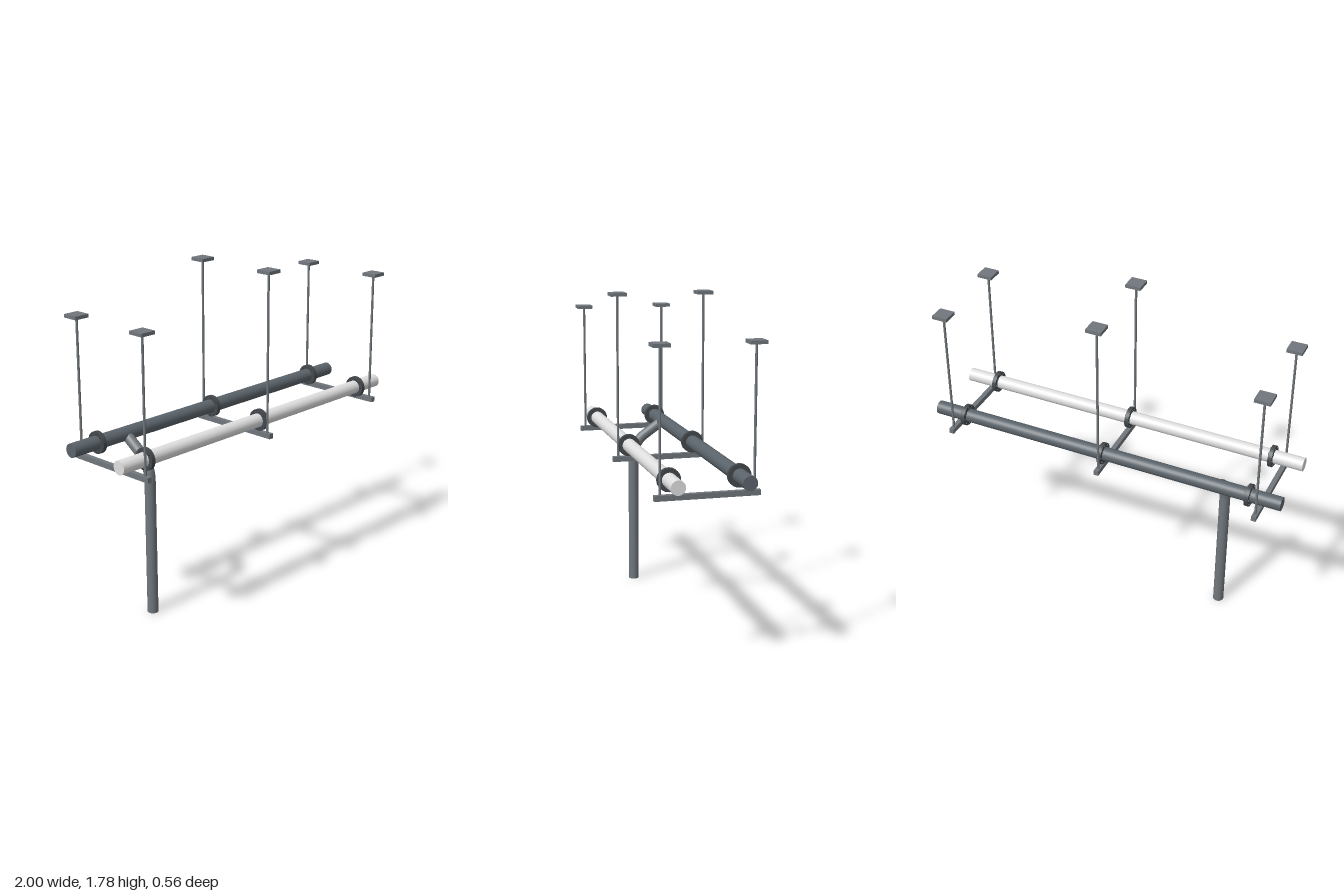
import * as THREE from 'three';

export function createModel() {
  const model = new THREE.Group();
  model.name = 'suspendedPipeRack';

  const mat = (name, color) => {
    const m = new THREE.MeshStandardMaterial({ color });
    m.name = name;
    return m;
  };
  const light = mat('pale pipe', 0xe0e0e0);
  const dark = mat('slate pipe', 0x5b646b);
  const steel = mat('hanger steel', 0x70777c);
  const iron = mat('flange iron', 0x44494d);

  const add = (name, geo, material, x, y, z, parent = model) => {
    const m = new THREE.Mesh(geo, material);
    m.name = name;
    m.position.set(x, y, z);
    parent.add(m);
  };

  const pipeY = 0.957, pipeZ = 0.177, rodZ = 0.236, barY = 0.884;

  // Two long horizontal pipes
  const pipeGeo = new THREE.CylinderGeometry(0.037, 0.037, 2, 32).rotateZ(Math.PI / 2);
  add('frontPipe', pipeGeo, light, 0, pipeY, pipeZ);
  add('rearPipe', pipeGeo, dark, 0, pipeY, -pipeZ);

  // Bolted flange collars
  const flangeGeo = new THREE.CylinderGeometry(0.059, 0.059, 0.022, 32).rotateZ(Math.PI / 2);
  const boltGeo = new THREE.CylinderGeometry(0.006, 0.006, 0.03, 8).rotateZ(Math.PI / 2);
  for (const x of [-0.825, 0, 0.825]) {
    for (const side of [1, -1]) {
      const flange = new THREE.Group();
      flange.name = 'flange';
      flange.position.set(x, pipeY, side * pipeZ);
      add('flangeRing', flangeGeo, iron, 0, 0, 0, flange);
      for (let i = 0; i < 8; i++) {
        const a = (i / 8) * Math.PI * 2;
        add('flangeBolt', boltGeo, iron, 0, Math.cos(a) * 0.048, Math.sin(a) * 0.048, flange);
      }
      model.add(flange);
    }
  }

  // Trapeze hangers: crossbar, two rods and their ceiling plates
  const barGeo = new THREE.BoxGeometry(0.026, 0.028, 0.53);
  const plateGeo = new THREE.BoxGeometry(0.085, 0.018, 0.085);
  for (const [x, top] of [[-0.882, 1.624], [0, 1.777], [0.882, 1.624]]) {
    const hanger = new THREE.Group();
    hanger.name = 'hanger';
    hanger.position.x = x;
    add('crossbar', barGeo, steel, 0, barY, 0, hanger);
    const length = top - 0.009 - barY;
    const rodGeo = new THREE.CylinderGeometry(0.0065, 0.0065, length, 12);
    for (const side of [1, -1]) {
      add('hangerRod', rodGeo, steel, 0, barY + length / 2, side * rodZ, hanger);
      add('ceilingPlate', plateGeo, steel, 0, top - 0.009, side * rodZ, hanger);
    }
    model.add(hanger);
  }

  // Drop pipe: vertical run, swept elbow and slanted joint into the rear pipe
  const v = (y, z) => new THREE.Vector3(0, y, z);
  const path = new THREE.CurvePath();
  path.add(new THREE.LineCurve3(v(0, 0), v(0.735, 0)));
  path.add(new THREE.CubicBezierCurve3(v(0.735, 0), v(0.795, 0), v(0.845, -0.02), v(0.88, -0.07)));
  path.add(new THREE.LineCurve3(v(0.88, -0.07), v(0.955, -pipeZ)));
  add('dropPipe', new THREE.TubeGeometry(path, 90, 0.029, 24), steel, -0.635, 0, 0);
  add('dropPipeEnd', new THREE.CircleGeometry(0.029, 24).rotateX(Math.PI / 2), steel, -0.635, 0, 0);

  return model;
}
